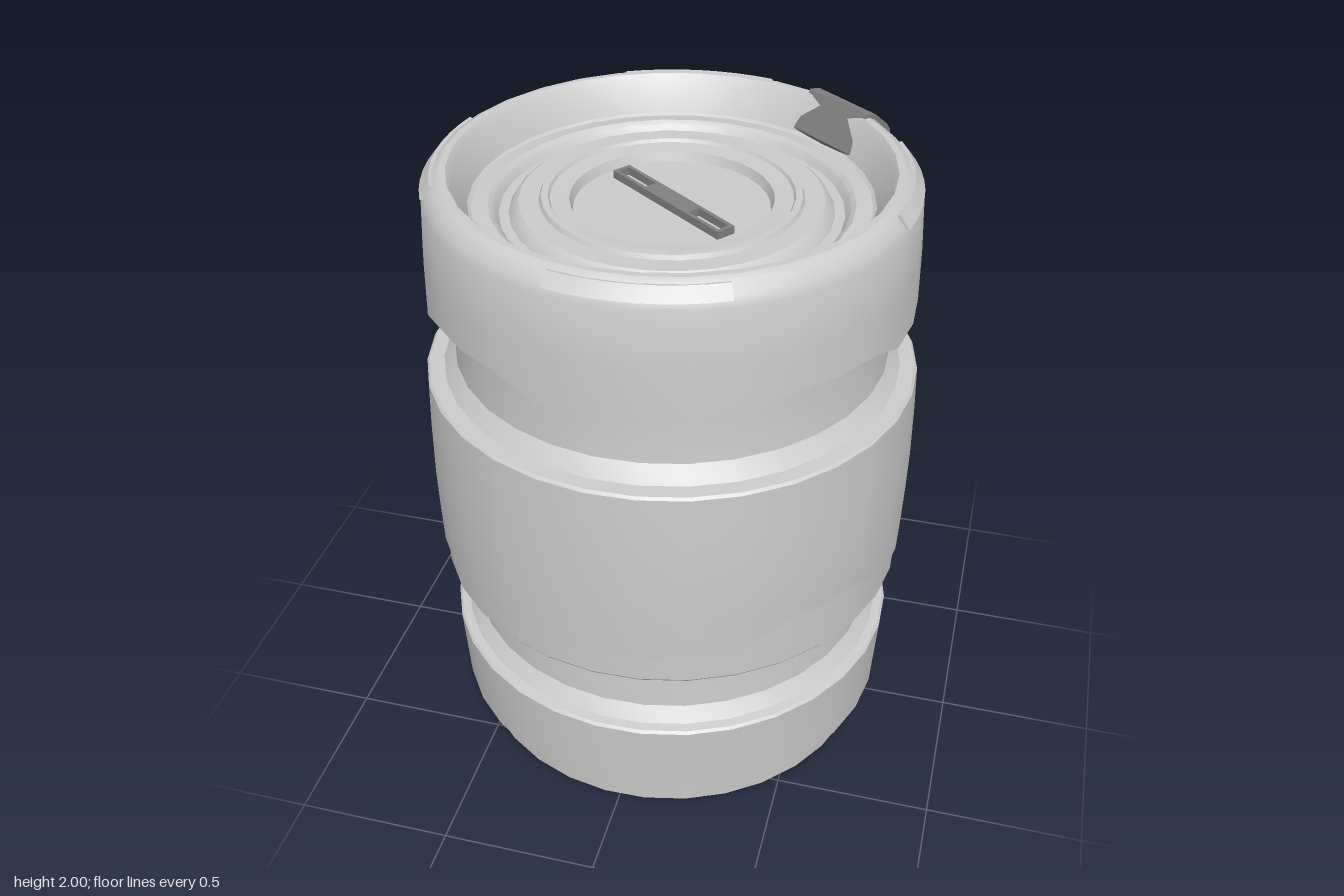
import * as THREE from 'three';
import { toCreasedNormals } from 'three/addons/utils/BufferGeometryUtils.js';

const light = new THREE.MeshStandardMaterial({ color: 0xcccccc });
const dark = new THREE.MeshStandardMaterial({ color: 0x808080 });
const rad = THREE.MathUtils.degToRad;
const PHASE = 52; // angle (from +z towards +x) of the first notch
const CLIP = 142; // angle of the rim clip and the strap centre

function part(name, geometry, material = light, crease = 0.45) {
  const mesh = new THREE.Mesh(toCreasedNormals(geometry, crease), material);
  mesh.name = name;
  return mesh;
}

// Turned 32-sided shape; points are [radius, y] from the bottom outwards and up
function turned(points) {
  return new THREE.LatheGeometry(points.map(([r, y]) => new THREE.Vector2(r, y)), 32, rad(PHASE));
}

// Raises the lower edge into trapezoid notches repeated every `period` degrees
function notchEdge(geometry, edgeY, height, period) {
  const p = geometry.attributes.position;
  for (let i = 0; i < p.count; i++) {
    if (Math.abs(p.getY(i) - edgeY) > 0.01) continue;
    const a = THREE.MathUtils.radToDeg(Math.atan2(p.getX(i), p.getZ(i))) - PHASE;
    const d = Math.abs(THREE.MathUtils.euclideanModulo(a + period / 2, period) - period / 2);
    p.setY(i, p.getY(i) + height * THREE.MathUtils.clamp((22.5 - d) / 11.25, 0, 1));
  }
  return geometry;
}

// Block bent around the axis; the section is [inner low, inner high, outer low, outer high]
function arcBlock([il, ih, ol, oh], from, to) {
  const g = new THREE.BoxGeometry(1, 1, 1, Math.max(1, Math.ceil((to - from) / 5)), 1, 1);
  const p = g.attributes.position;
  for (let i = 0; i < p.count; i++) {
    const a = rad(from + (p.getX(i) + 0.5) * (to - from));
    const outer = p.getZ(i) > 0, high = p.getY(i) > 0;
    const [r, y] = outer ? (high ? oh : ol) : (high ? ih : il);
    p.setXYZ(i, r * Math.sin(a), y, r * Math.cos(a));
  }
  return g;
}
const rect = (r0, r1, y0, y1) => [[r0, y0], [r0, y1], [r1, y0], [r1, y1]];

// Strap in the lower groove, with two framed slots
function makeStrap() {
  const strap = new THREE.Group();
  strap.name = 'strap';
  const add = (name, r1, y0, y1, a0, a1) =>
    strap.add(part(name, arcBlock(rect(0.65, r1, y0, y1), CLIP + a0, CLIP + a1), dark));
  add('strapEnd', 0.688, 0.45, 0.55, -53, -32);
  add('strapMiddle', 0.688, 0.45, 0.55, -12, 12);
  add('strapEnd', 0.688, 0.45, 0.55, 32, 53);
  for (const c of [-22, 22]) {
    add('strapLowerRail', 0.688, 0.45, 0.48, c - 10, c + 10);
    add('strapUpperRail', 0.688, 0.52, 0.55, c - 10, c + 10);
    add('slotFrameLow', 0.697, 0.467, 0.48, c - 10, c + 10);
    add('slotFrameHigh', 0.697, 0.52, 0.533, c - 10, c + 10);
    add('slotFrameSide', 0.697, 0.467, 0.533, c - 11, c - 9);
    add('slotFrameSide', 0.697, 0.467, 0.533, c + 9, c + 11);
  }
  return strap;
}

// Clip folded over the rim: two side rails, and cross pieces that leave slots
function makeClip() {
  const clip = new THREE.Group();
  clip.name = 'rimClip';
  const outer = [[0.775, 1.57], [0.772, 1.715], [0.77, 1.785], [0.764, 1.925],
    [0.75, 1.945], [0.695, 1.992], [0.655, 2.0], [0.593, 1.885]];
  const inner = [[0.7, 1.57], [0.7, 1.715], [0.7, 1.785], [0.69, 1.88],
    [0.68, 1.89], [0.66, 1.9], [0.64, 1.9], [0.605, 1.86]];
  const add = (name, first, last, z0, z1) => {
    const loop = [...outer.slice(first, last + 1), ...inner.slice(first, last + 1).reverse()];
    const shape = new THREE.Shape(loop.map(([r, y]) => new THREE.Vector2(r, y)));
    const g = new THREE.ExtrudeGeometry(shape, { depth: z1 - z0, bevelEnabled: false });
    clip.add(part(name, g.translate(0, 0, z0), dark));
  };
  add('clipRail', 0, 7, -0.13, -0.1);
  add('clipRail', 0, 7, 0.1, 0.13);
  add('clipFoot', 0, 1, -0.1, 0.1);
  add('clipBridge', 2, 4, -0.1, 0.1);
  add('clipTongue', 5, 7, -0.1, 0.1);
  clip.rotation.y = rad(CLIP - 90);
  return clip;
}

// Bar across the centre of the lid, with a slot near each end
function makeHandle() {
  const box = (Type, x, w, h) => new Type([[-w, -h], [w, -h], [w, h], [-w, h]]
    .map(([px, py]) => new THREE.Vector2(x + px, py)));
  const bar = box(THREE.Shape, 0, 0.252, 0.031);
  bar.holes = [-0.172, 0.172].map((x) => box(THREE.Path, x, 0.068, 0.019));
  const g = new THREE.ExtrudeGeometry(bar, { depth: 0.03, bevelEnabled: false });
  const handle = part('lidHandle', g.rotateX(-Math.PI / 2), dark);
  handle.position.y = 1.84;
  handle.rotation.y = rad(-37.5);
  return handle;
}

export function createModel() {
  const model = new THREE.Group();
  model.name = 'barrel';

  // Base, lower groove, skirt and neck
  model.add(part('core', turned([
    [0, 0], [0.69, 0], [0.695, 0.095], [0.735, 0.1], [0.75, 0.372], [0.742, 0.38], [0.715, 0.385],
    [0.68, 0.43], [0.672, 0.56], [0.69, 0.6], [0.715, 0.62], [0.758, 0.62], [0.765, 0.63],
    [0.768, 0.85], [0.76, 1.32], [0.72, 1.338], [0.68, 1.39], [0.668, 1.54], [0.675, 1.7],
  ])));

  // Wide middle shell
  model.add(part('bodyShell', notchEdge(turned([
    [0.755, 0.72], [0.776, 0.72], [0.78, 0.86], [0.782, 1.0], [0.779, 1.18], [0.773, 1.33],
    [0.765, 1.338], [0.715, 1.34],
  ]), 0.72, 0.09, 180)));

  // Top band, rolled rim and ringed lid
  model.add(part('topBand', notchEdge(turned([
    [0.66, 1.575], [0.745, 1.575], [0.752, 1.58], [0.748, 1.75], [0.738, 1.92], [0.725, 1.95],
    [0.7, 1.978], [0.68, 1.988], [0.66, 1.988], [0.645, 1.97], [0.605, 1.875],
    [0.595, 1.868], [0.545, 1.875], [0.53, 1.865], [0.515, 1.84], [0.485, 1.84], [0.47, 1.865],
    [0.455, 1.877], [0.395, 1.877], [0.388, 1.89], [0.368, 1.89], [0.362, 1.88], [0.305, 1.875],
    [0.295, 1.845], [0, 1.845],
  ]), 1.578, 0.047, 90)));

  // Raised pads on the rim
  for (let k = 0; k < 4; k++) {
    const a = 7 + k * 90;
    model.add(part('rimPad', arcBlock(
      [[0.69, 1.93], [0.665, 1.97], [0.738, 1.942], [0.708, 1.98]], a - 20, a + 20)));
  }

  model.add(makeStrap(), makeClip(), makeHandle());
  return model;
}
